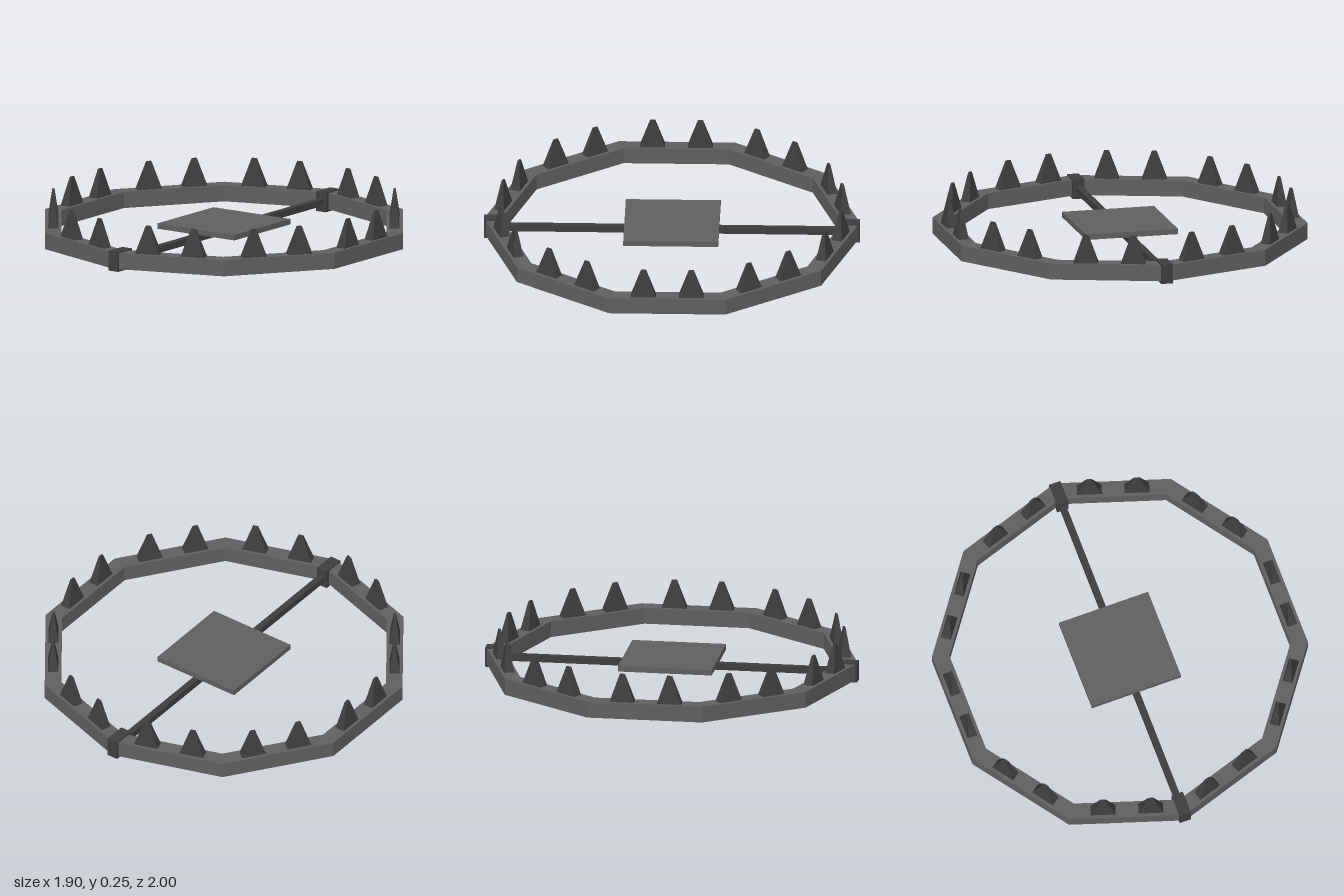
import * as THREE from 'three';

const steel = new THREE.MeshStandardMaterial({ color: 0x606060, flatShading: true });
const darkSteel = new THREE.MeshStandardMaterial({ color: 0x3e3e3e, flatShading: true });

const SIDES = 10, OUTER = 1, INNER = 0.908;
const BASE = 0.013, TOP = 0.1;

function addBox(parent, name, material, size, position) {
  const mesh = new THREE.Mesh(new THREE.BoxGeometry(...size), material);
  mesh.name = name;
  mesh.position.set(...position);
  parent.add(mesh);
}

// Corner of the ten-sided ring, counted from the front (+z) towards +x
function corner(i, radius) {
  const a = (i / SIDES) * Math.PI * 2;
  return new THREE.Vector2(Math.sin(a) * radius, Math.cos(a) * radius);
}

// Four-sided tapered tooth, long along x, standing on y = 0
function toothGeometry() {
  const height = 0.15;
  const g = new THREE.CylinderGeometry(0.2 * Math.SQRT1_2, Math.SQRT1_2, height, 4);
  g.rotateY(Math.PI / 4);
  g.scale(0.132, 1, 0.054);
  g.translate(0, height / 2, 0);
  return g;
}

// Half of the ring with two teeth on each straight side
function createJaw(name, first) {
  const jaw = new THREE.Group();
  jaw.name = name;
  const half = SIDES / 2;
  const points = [];
  for (let i = 0; i <= half; i++) points.push(corner(first + i, OUTER));
  for (let i = half; i >= 0; i--) points.push(corner(first + i, INNER));

  const g = new THREE.ExtrudeGeometry(new THREE.Shape(points), { depth: TOP - BASE, bevelEnabled: false });
  g.rotateX(Math.PI / 2); // shape y becomes z, depth runs downwards
  g.translate(0, TOP, 0);
  const bar = new THREE.Mesh(g, steel);
  bar.name = 'jawBar';
  jaw.add(bar);

  const tooth = toothGeometry();
  const apothem = ((OUTER + INNER) / 2) * Math.cos(Math.PI / SIDES);
  for (let i = 0; i < half; i++) {
    const a = ((first + i + 0.5) / SIDES) * Math.PI * 2;
    for (const offset of [-0.127, 0.127]) {
      const mesh = new THREE.Mesh(tooth, darkSteel);
      mesh.name = 'tooth';
      mesh.position.set(
        Math.sin(a) * apothem + Math.cos(a) * offset,
        TOP,
        Math.cos(a) * apothem - Math.sin(a) * offset
      );
      mesh.rotation.y = a;
      jaw.add(mesh);
    }
  }
  return jaw;
}

export function createModel() {
  const model = new THREE.Group();
  model.name = 'jawTrap';

  model.add(createJaw('leftJaw', 0), createJaw('rightJaw', SIDES / 2));

  // Hinge blocks where the jaws meet
  for (const s of [1, -1]) {
    addBox(model, s > 0 ? 'frontHinge' : 'backHinge', darkSteel, [0.064, 0.107, 0.125], [0, 0.0535, s * 0.9375]);
  }

  // Cross bar carrying the trigger plate
  addBox(model, 'crossBar', darkSteel, [0.035, 0.036, 1.84], [0, 0.052, 0]);
  addBox(model, 'triggerPlate', steel, [0.505, 0.03, 0.505], [0, 0.085, 0]);

  return model;
}
